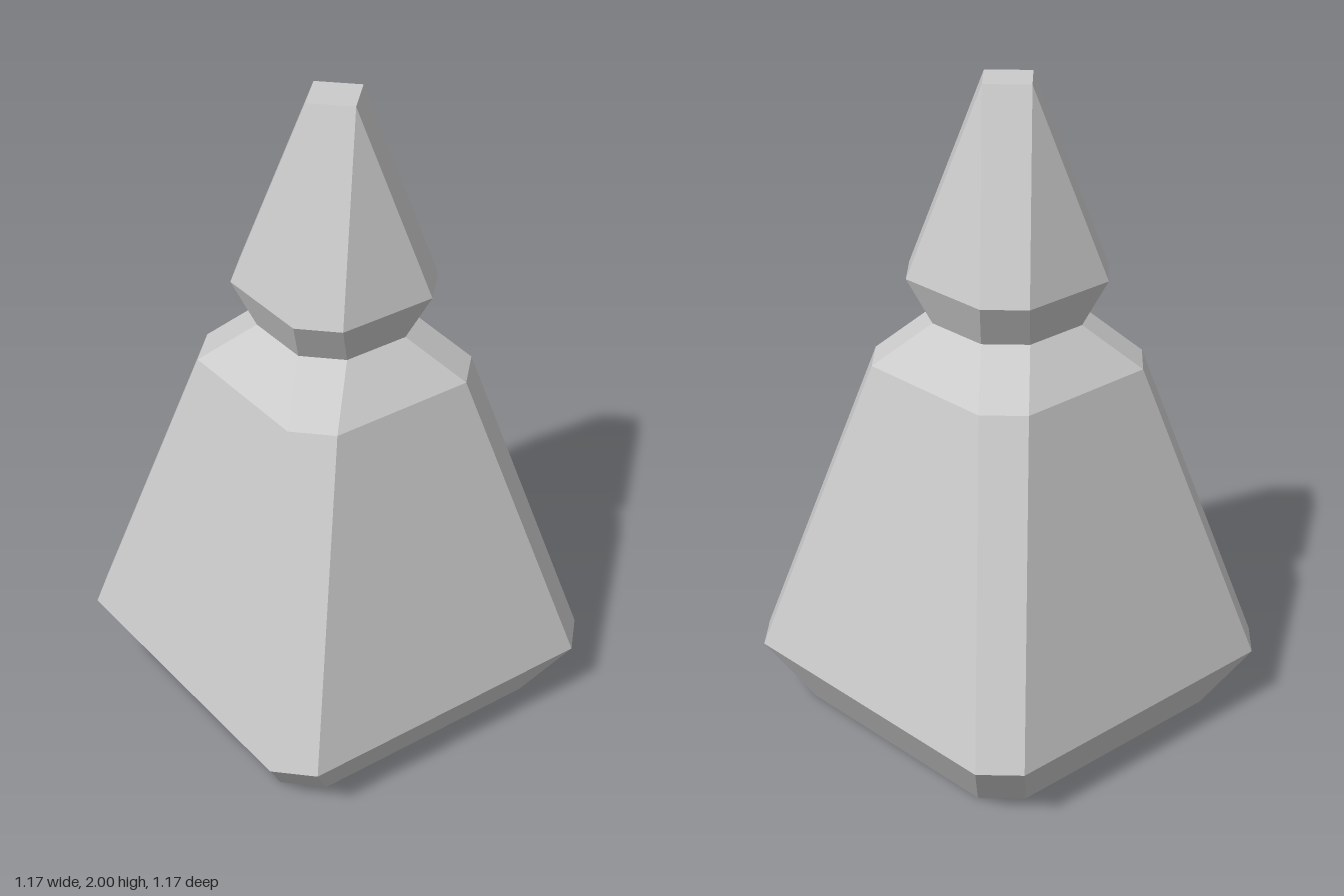
import * as THREE from 'three';

const material = new THREE.MeshStandardMaterial({ color: 0xcccccc, flatShading: true });

// Square section with cut corners: h = half width, f = half length of the flat side
function ring([y, h, f]) {
  return [[-f, h], [f, h], [h, f], [h, -f], [f, -h], [-f, -h], [-h, -f], [-h, f]]
    .map(([x, z]) => new THREE.Vector3(x, y, z));
}

// Faceted segment between two sections, with optional end caps
function segment(name, lower, upper, capBottom = false, capTop = false) {
  const a = ring(lower), b = ring(upper), points = [];
  const tri = (p, q, r) => {
    if (new THREE.Triangle(p, q, r).getArea() > 1e-7) points.push(p, q, r);
  };
  for (let i = 0; i < 8; i++) {
    const j = (i + 1) % 8;
    tri(a[i], a[j], b[j]);
    tri(a[i], b[j], b[i]);
    if (capBottom) tri(new THREE.Vector3(0, lower[0], 0), a[j], a[i]);
    if (capTop) tri(new THREE.Vector3(0, upper[0], 0), b[i], b[j]);
  }
  const geometry = new THREE.BufferGeometry().setFromPoints(points);
  geometry.computeVertexNormals();
  const mesh = new THREE.Mesh(geometry, material);
  mesh.name = name;
  return mesh;
}

export function createModel() {
  const group = new THREE.Group();
  group.name = 'facetedPawn';

  // Sections from the ground up: [y, half width, half flat]
  const sections = [
    [0, 0.477, 0.378],
    [0.187, 0.586, 0.487],
    [1.142, 0.331, 0.231],
    [1.28, 0.203, 0.104],
    [1.417, 0.256, 0.157],
    [2, 0.099, 0],
  ];
  const names = ['base', 'body', 'shoulder', 'neck', 'finial'];

  names.forEach((name, i) => {
    group.add(segment(name, sections[i], sections[i + 1], i === 0, i === names.length - 1));
  });
  return group;
}
